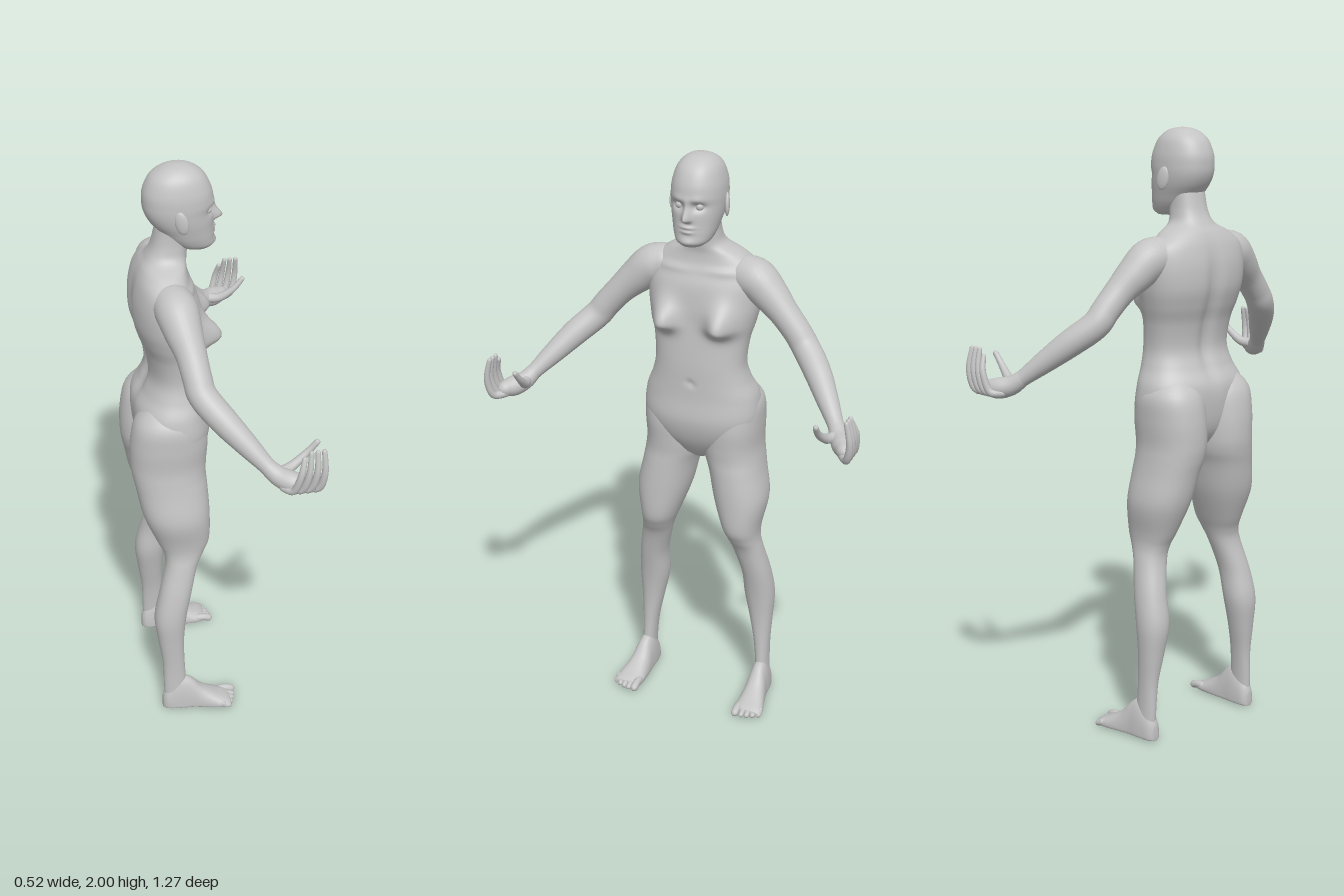
import * as THREE from 'three';

// Closed skin over a list of rings, always wound outward
function skin(rings) {
  const n = rings[0].length, pos = [], idx = [];
  for (const r of rings) for (const p of r) pos.push(...p);
  for (let i = 0; i < rings.length - 1; i++)
    for (let j = 0; j < n; j++) {
      const a = i * n + j, b = i * n + (j + 1) % n;
      idx.push(a, b, a + n, b, b + n, a + n);
    }
  // End caps
  [0, rings.length - 1].forEach((k, e) => {
    const c = pos.length / 3;
    for (let d = 0; d < 3; d++) pos.push(rings[k].reduce((s, p) => s + p[d], 0) / n);
    for (let j = 0; j < n; j++) {
      const a = k * n + j, b = k * n + (j + 1) % n;
      idx.push(...(e ? [a, b, c] : [b, a, c]));
    }
  });
  let volume = 0;
  const v = i => new THREE.Vector3(pos[i * 3], pos[i * 3 + 1], pos[i * 3 + 2]);
  for (let i = 0; i < idx.length; i += 3) volume += v(idx[i]).dot(v(idx[i + 1]).cross(v(idx[i + 2])));
  if (volume < 0) idx.reverse();
  const g = new THREE.BufferGeometry();
  g.setAttribute('position', new THREE.Float32BufferAttribute(pos, 3));
  g.setIndex(idx);
  g.computeVertexNormals();
  return g;
}

// Smoothly fills in rows between the given ones
function refine(rows, steps) {
  const out = [], at = i => rows[Math.min(Math.max(i, 0), rows.length - 1)];
  for (let i = 0; i < rows.length - 1; i++)
    for (let s = 0; s < steps; s++) {
      const t = s / steps;
      out.push(at(i).map((p1, k) => {
        const p0 = at(i - 1)[k], p2 = at(i + 1)[k], p3 = at(i + 2)[k];
        return p1 + 0.5 * t * (p2 - p0 + t * (2 * p0 - 5 * p1 + 4 * p2 - p3 + t * (3 * (p1 - p2) + p3 - p0)));
      }));
    }
  out.push(at(rows.length));
  return out;
}

const bend = (c, n) => Math.sign(c) * Math.abs(c) ** (2 / n);

// Upright loft; rows are [y, back x, front x, z from, z to]
function upright(rows, { seg = 40, steps = 5, power = 2.2, shape = p => p } = {}) {
  return skin(refine(rows, steps).map(([y, xa, xb, za, zb]) =>
    Array.from({ length: seg }, (_, j) => {
      const a = j / seg * Math.PI * 2, c = bend(Math.cos(a), power), s = bend(Math.sin(a), power);
      return shape([(xa + xb) / 2 + c * (xb - xa) / 2, y, (za + zb) / 2 + s * (zb - za) / 2], c);
    })));
}

// Round-ended tapering limb; points are [x, y, z, radius]
function limb(points, seg = 14, steps = 5) {
  const rows = refine(points, steps);
  const curve = new THREE.CatmullRomCurve3(points.map(p => new THREE.Vector3(p[0], p[1], p[2])));
  const last = rows.length - 1, side = new THREE.Vector3(), up = new THREE.Vector3();
  const rings = [];
  const ring = (i, along, scale) => {
    const [x, y, z, r] = rows[i], t = curve.getTangent(i / last);
    side.set(t.y, -t.x, 0).normalize();
    up.crossVectors(t, side);
    rings.push(Array.from({ length: seg }, (_, j) => {
      const a = j / seg * Math.PI * 2;
      const p = new THREE.Vector3(x, y, z).addScaledVector(t, along * r)
        .addScaledVector(side, Math.cos(a) * r * scale).addScaledVector(up, Math.sin(a) * r * scale);
      return p.toArray();
    }));
  };
  for (const a of [1.4, 1, 0.5]) ring(0, -Math.sin(a), Math.cos(a));
  for (let i = 0; i <= last; i++) ring(i, 0, 1);
  for (const a of [0.5, 1, 1.4]) ring(last, Math.sin(a), Math.cos(a));
  return skin(rings);
}

// Soft swellings; each is [y, z, size up, size down, size across, amount]
const swell = list => (p, c) => {
  if (c <= 0) return p;
  let d = 0;
  for (const [y, z, su, sd, sz, amount] of list) {
    const dy = (p[1] - y) / (p[1] > y ? su : sd);
    for (const s of z ? [1, -1] : [1]) d += amount * Math.exp(-dy * dy - ((p[2] - s * z) / sz) ** 2);
  }
  return [p[0] + d * Math.min(1, c * 2), p[1], p[2]];
};

function mirrored(g) {
  const m = g.clone().scale(1, 1, -1);
  m.setIndex(Array.from(g.index.array).reverse());
  m.computeVertexNormals();
  return m;
}

const even = rows => rows.map(([y, a, b, w]) => [y, a, b, -w, w]);

export function createModel() {
  const model = new THREE.Group();
  model.name = 'standingFigure';
  const skinGrey = new THREE.MeshStandardMaterial({ color: 0xc4c4c4 });
  skinGrey.name = 'skinGrey';
  const add = (name, g) => {
    const m = new THREE.Mesh(g, skinGrey);
    m.name = name;
    model.add(m);
  };
  const pair = (name, g) => {
    add(name + 'Left', mirrored(g));
    add(name + 'Right', g);
  };

  // Head with brow, eye sockets, nose, lips and chin
  const face = swell([
    [1.853, 0.034, 0.013, 0.014, 0.02, -0.013], [1.877, 0.03, 0.012, 0.01, 0.025, 0.004],
    [1.845, 0, 0.025, 0.02, 0.01, 0.012], [1.815, 0, 0.022, 0.009, 0.013, 0.03],
    [1.787, 0, 0.006, 0.005, 0.022, 0.008], [1.773, 0, 0.005, 0.006, 0.02, 0.007],
    [1.738, 0, 0.014, 0.012, 0.025, 0.007],
  ]);
  add('head', upright(even([
    [2.0, -0.085, -0.075, 0.005], [1.992, -0.125, -0.035, 0.04], [1.965, -0.165, 0.002, 0.068],
    [1.92, -0.187, 0.025, 0.083], [1.88, -0.19, 0.031, 0.087], [1.85, -0.185, 0.028, 0.086],
    [1.82, -0.17, 0.03, 0.082], [1.79, -0.145, 0.031, 0.075], [1.76, -0.12, 0.033, 0.067],
    [1.735, -0.09, 0.033, 0.055], [1.72, -0.06, 0.02, 0.035],
  ]), { seg: 110, steps: 8, shape: face }));
  pair('eye', new THREE.SphereGeometry(0.013, 20, 14).translate(0.007, 1.853, 0.034));
  pair('ear', new THREE.SphereGeometry(1, 18, 14).scale(0.021, 0.038, 0.009)
    .rotateZ(0.2).rotateY(-0.35).translate(-0.083, 1.842, 0.09));

  // Neck, chest, waist and pelvis, with a groove along the spine
  const bust = swell([[1.445, 0.1, 0.065, 0.032, 0.045, 0.066], [1.43, 0.11, 0.01, 0.01, 0.01, 0.004],
    [1.62, 0.09, 0.012, 0.012, 0.07, 0.006], [1.24, 0, 0.012, 0.012, 0.009, -0.008]]);
  add('torso', upright(even([
    [1.8, -0.15, -0.045, 0.058], [1.74, -0.165, -0.05, 0.06], [1.7, -0.185, -0.055, 0.075],
    [1.67, -0.205, -0.058, 0.13], [1.63, -0.222, -0.05, 0.178], [1.57, -0.235, -0.025, 0.193],
    [1.5, -0.235, -0.015, 0.19], [1.44, -0.22, -0.012, 0.178], [1.38, -0.2, -0.005, 0.163],
    [1.3, -0.19, 0.002, 0.156], [1.24, -0.207, 0.004, 0.17], [1.18, -0.235, 0.006, 0.195],
    [1.1, -0.235, 0.012, 0.2], [1.03, -0.22, -0.005, 0.17], [0.97, -0.18, -0.04, 0.09],
    [0.94, -0.15, -0.07, 0.03],
  ]), {
    seg: 90, steps: 8, power: 2.35,
    shape: (p, c) => c > 0 ? bust(p, c)
      : [p[0] - c * 0.016 * Math.exp(-((p[2] / 0.025) ** 2) - ((p[1] - 1.4) / 0.2) ** 4), p[1], p[2]],
  }));

  // Buttock, thigh, knee, calf and ankle
  pair('leg', upright([
    [1.22, -0.19, -0.07, 0.05, 0.15], [1.16, -0.243, -0.025, 0.014, 0.2],
    [1.08, -0.262, -0.008, 0.004, 0.206], [1.0, -0.265, -0.012, 0.004, 0.203],
    [0.95, -0.26, -0.015, 0.011, 0.208], [0.9, -0.25, -0.012, 0.028, 0.216],
    [0.8, -0.23, -0.008, 0.05, 0.233], [0.7, -0.19, -0.01, 0.085, 0.217],
    [0.65, -0.168, -0.03, 0.105, 0.215], [0.6, -0.165, -0.055, 0.12, 0.225],
    [0.5, -0.19, -0.08, 0.145, 0.245], [0.4, -0.21, -0.1, 0.15, 0.255],
    [0.3, -0.2, -0.11, 0.17, 0.25], [0.2, -0.187, -0.11, 0.19, 0.245],
    [0.1, -0.185, -0.105, 0.2, 0.245], [0.04, -0.183, -0.1, 0.2, 0.248],
  ]));

  // Foot: rows are [x, top y, centre z, half width], flat underneath
  pair('foot', skin(refine([
    [-0.19, 0.05, 0.222, 0.012], [-0.175, 0.085, 0.222, 0.027], [-0.13, 0.13, 0.223, 0.034],
    [-0.09, 0.12, 0.224, 0.036], [-0.05, 0.078, 0.227, 0.042], [0, 0.047, 0.232, 0.049],
    [0.03, 0.033, 0.234, 0.05], [0.048, 0.022, 0.234, 0.044],
  ], 4).map(([x, top, z, w]) => Array.from({ length: 28 }, (_, j) => {
    const a = j / 28 * Math.PI * 2;
    const s = Math.sin(a), y = s > 0 ? 0.015 + (top - 0.015) * s : 0.015 * (1 - Math.abs(s) ** 0.5);
    return [x, y, z + w * bend(Math.cos(a), 2.4)];
  }))));
  for (let i = 0; i < 5; i++) {
    const z = 0.197 + i * 0.019 + (i ? 0.004 : 0), r = i ? 0.0095 : 0.0135, tip = 0.063 - i * i * 0.0015;
    pair('toe' + (i + 1), limb([[0.02, 0.02, z, r], [tip - 0.018, r + 0.006, z, r], [tip, r, z, r]], 12, 3));
  }

  // Shoulder, upper arm and forearm
  pair('arm', limb([
    [-0.125, 1.6, 0.13, 0.065], [-0.118, 1.592, 0.18, 0.068], [-0.108, 1.55, 0.232, 0.06],
    [-0.095, 1.5, 0.285, 0.049], [-0.086, 1.445, 0.335, 0.046], [-0.075, 1.4, 0.37, 0.046],
    [-0.025, 1.345, 0.428, 0.044], [0.035, 1.285, 0.483, 0.036], [0.085, 1.235, 0.527, 0.027],
    [0.11, 1.213, 0.546, 0.027],
  ], 28));

  // Cupped hand: palm, curled fingers and raised thumb
  pair('palm', limb([
    [0.09, 1.23, 0.532, 0.026], [0.12, 1.205, 0.553, 0.031],
    [0.155, 1.195, 0.577, 0.034], [0.185, 1.195, 0.592, 0.027],
  ], 20));
  for (let i = 0; i < 4; i++)
    pair('finger' + (i + 1), limb([
      [0.13 + i * 0.02, 1.183, 0.585, 0.014], [0.155 + i * 0.025, 1.188, 0.614, 0.0125],
      [0.173 + i * 0.024, 1.25, 0.625, 0.0105], [0.184 + i * 0.02, 1.317 - (i === 0 ? 0.02 : 0), 0.612, 0.008],
    ], 12));
  pair('thumb', limb([
    [0.115, 1.21, 0.55, 0.02], [0.165, 1.215, 0.528, 0.016],
    [0.215, 1.25, 0.516, 0.0115], [0.248, 1.288, 0.517, 0.009],
  ], 12));

  return model;
}
